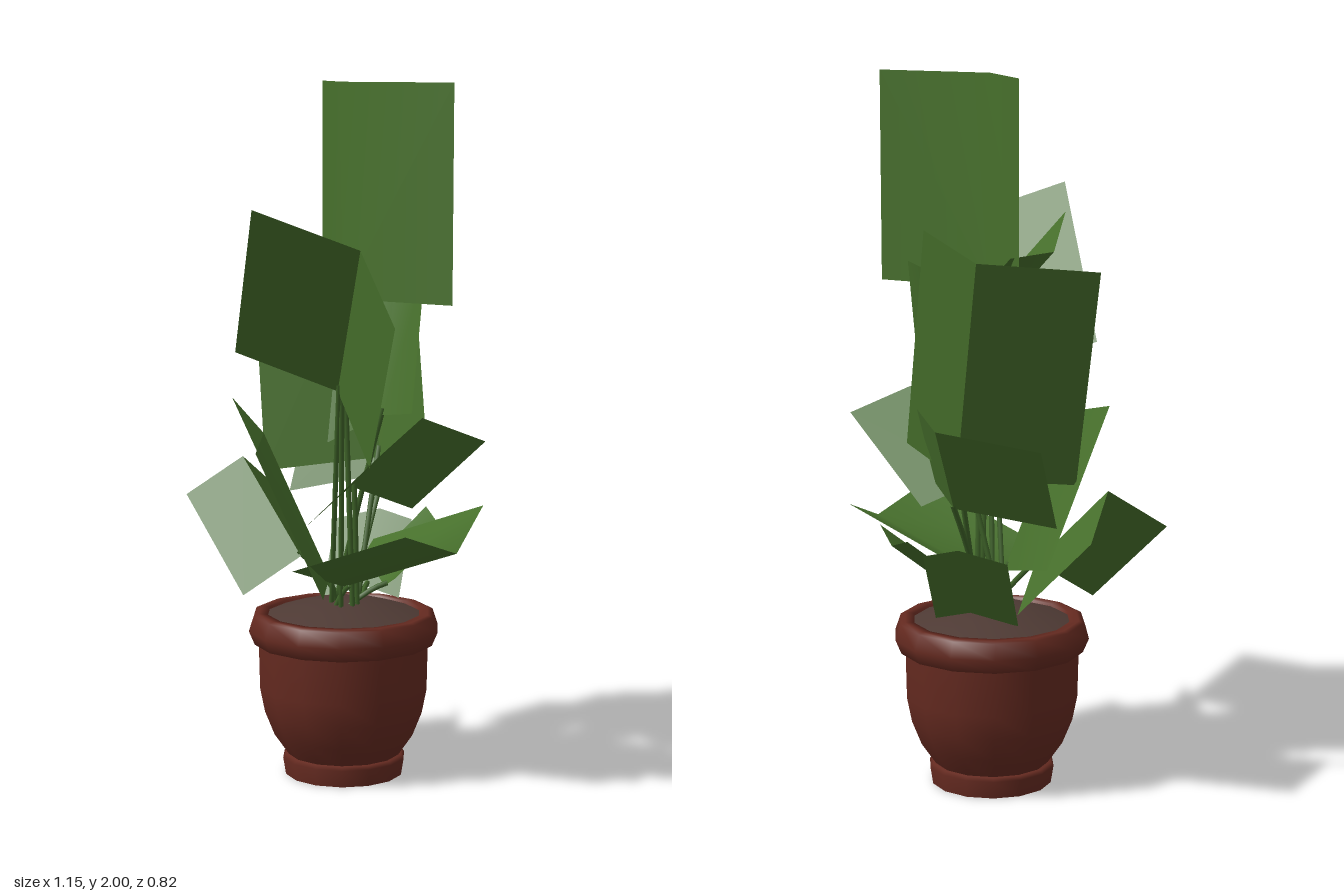
import * as THREE from 'three';
import { toCreasedNormals } from 'three/addons/utils/BufferGeometryUtils.js';

const POT_X = -0.085, POT_Z = -0.055;

const mat = (name, color, side = THREE.FrontSide) => {
  const m = new THREE.MeshStandardMaterial({ color, side });
  m.name = name;
  return m;
};

// Each leaf: left tip, middle tip, right tip, and the vector down the midrib
const LEAVES = [
  { name: 'topLeaf', l: [-0.26, 2, -0.11], m: [0.01, 2, 0.02], r: [0.345, 2, -0.105], s: [0.01, -0.6, 0.01] },
  { name: 'frontLeftUpperLeaf', l: [0.13, 1.667, 0.41], m: [0.344, 1.563, 0.21], r: [0.575, 1.381, 0.273], s: [-0.31, -0.42, -0.155] },
  { name: 'backRightUpperLeaf', l: [-0.483, 1.497, -0.015], m: [-0.32, 1.529, -0.31], r: [-0.115, 1.6, -0.32], s: [0.19, -0.62, 0.09] },
  { name: 'innerUpperLeaf', l: [-0.11, 1.614, 0.196], m: [-0.18, 1.515, 0.09], r: [-0.215, 1.515, -0.1], s: [0.255, -0.24, -0.03] },
  { name: 'frontMiddleLeaf', l: [-0.33, 1.095, 0.165], m: [-0.063, 1.03, 0.24], r: [0.07, 1, 0.36], s: [0.01, -0.435, -0.22] },
  { name: 'leftMiddleLeaf', l: [0.375, 1.01, 0.175], m: [0.295, 1.09, -0.04], r: [0.374, 1.02, -0.2], s: [-0.3, -0.23, 0.02] },
  { name: 'leftLowerLeaf', l: [0.362, 0.78, 0.07], m: [0.35, 0.71, -0.12], r: [0.2, 0.8, -0.34], s: [-0.36, -0.14, 0.12] },
  { name: 'rightLowerLeaf', l: [-0.533, 0.785, 0.193], m: [-0.46, 0.894, 0.04], r: [-0.577, 0.794, -0.13], s: [0.295, -0.255, 0] },
  { name: 'backRightMiddleLeaf', l: [-0.455, 1.03, -0.2], m: [-0.27, 1.085, -0.41], r: [-0.04, 1.1, -0.286], s: [0.08, -0.24, 0.13] },
  { name: 'backUpperLeaf', l: [-0.2, 1.37, -0.13], m: [-0.045, 1.46, -0.21], r: [0.116, 1.485, -0.19], s: [0.07, -0.4, 0.1] },
  { name: 'backRightLowerLeaf', l: [-0.32, 0.7, -0.2], m: [-0.22, 0.735, -0.29], r: [-0.13, 0.71, -0.34], s: [0.08, -0.21, 0.11] },
  { name: 'backLowerLeaf', l: [-0.1, 0.75, -0.37], m: [0.02, 0.71, -0.33], r: [0.11, 0.75, -0.3], s: [-0.01, -0.15, 0.2] },
];

// Two wings folded along the midrib; only shallow folds are shaded smoothly
function leafGeometry({ l, m, r, s }) {
  const add = p => p.map((v, i) => v + s[i]);
  const g = new THREE.BufferGeometry();
  const points = [l, m, r, add(l), add(m), add(r)].flat();
  g.setAttribute('position', new THREE.Float32BufferAttribute(points, 3));
  g.setIndex([0, 3, 1, 1, 3, 4, 1, 4, 2, 2, 4, 5]);
  return toCreasedNormals(g, 0.85);
}

// Thin curved stem from the soil to the lower part of a leaf
function stemGeometry({ m, s }, i) {
  const angle = i * 2.4;
  const foot = new THREE.Vector3(
    POT_X + 0.03 + 0.04 * Math.cos(angle), 0.47, POT_Z + 0.02 + 0.04 * Math.sin(angle));
  const end = new THREE.Vector3(...m).addScaledVector(new THREE.Vector3(...s), 0.95);
  const bend = foot.clone().lerp(end, 0.5);
  bend.y += 0.03;
  const curve = new THREE.QuadraticBezierCurve3(foot, bend, end);
  return new THREE.TubeGeometry(curve, 6, 0.008, 5);
}

export function createModel() {
  const group = new THREE.Group();
  const leafMat = mat('leaf green', 0x47702c, THREE.DoubleSide);
  const stemMat = mat('stem green', 0x3f6429);
  const potMat = mat('terracotta', 0x652a20, THREE.DoubleSide);
  const soilMat = mat('soil brown', 0x4e3a34, THREE.DoubleSide);

  const add = (name, geometry, material, parent = group) => {
    const mesh = new THREE.Mesh(geometry, material);
    mesh.name = name;
    parent.add(mesh);
  };
  const lathe = pts => new THREE.LatheGeometry(pts.map(p => new THREE.Vector2(...p)), 14);

  // Pot: foot ring, bowl and rim
  const pot = new THREE.Group();
  pot.name = 'pot';
  pot.position.set(POT_X, 0, POT_Z);
  group.add(pot);
  add('foot', lathe([[0, 0], [0.172, 0], [0.172, 0], [0.18, 0.05], [0.172, 0.06], [0.15, 0.06]]), potMat, pot);
  add('bowl', lathe([[0.16, 0.055], [0.205, 0.12], [0.233, 0.19], [0.247, 0.26], [0.25, 0.39]]), potMat, pot);
  add('rim', lathe([[0.245, 0.385], [0.262, 0.39], [0.279, 0.43], [0.264, 0.475], [0.25, 0.48], [0.225, 0.478], [0.22, 0.44]]), potMat, pot);
  add('soil', lathe([[0.226, 0.47], [0.15, 0.495], [0.07, 0.512], [0, 0.516]]), soilMat, pot);

  // Foliage
  LEAVES.forEach((leaf, i) => {
    add(leaf.name, leafGeometry(leaf), leafMat);
    add(leaf.name + 'Stem', stemGeometry(leaf, i), stemMat);
  });
  return group;
}
